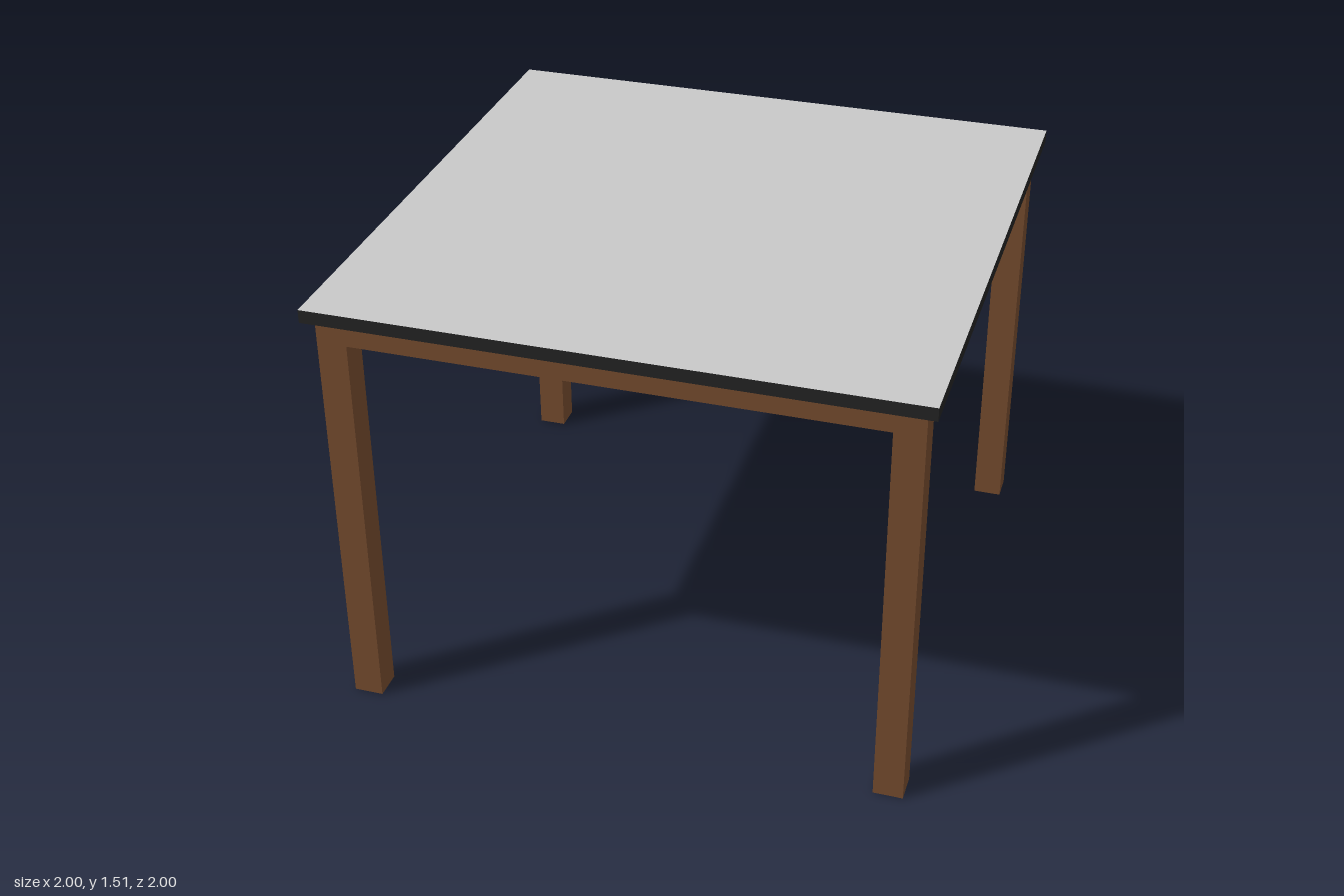
import * as THREE from 'three';

export function createModel() {
  const table = new THREE.Group();
  table.name = 'table';

  const material = (name, color) => {
    const m = new THREE.MeshStandardMaterial({ color });
    m.name = name;
    return m;
  };
  const wood = material('brown wood', 0x734a2d);
  const edge = material('black edge', 0x222222);
  const surface = material('grey surface', 0xc8c8c8);

  const addBox = (name, size, position, mat) => {
    const mesh = new THREE.Mesh(new THREE.BoxGeometry(...size), mat);
    mesh.name = name;
    mesh.position.set(...position);
    table.add(mesh);
  };

  const height = 1.51, topThickness = 0.045;
  const underside = height - topThickness;
  const outer = 0.965, legWidth = 0.1;
  const apronHeight = 0.082, apronDepth = 0.05;

  // Table top: grey surface, black rim, wooden underside
  addBox('tableTop', [2, topThickness, 2], [0, height - topThickness / 2, 0],
    [edge, edge, surface, wood, edge, edge]);

  // Square legs at the four corners
  const legCentre = outer - legWidth / 2;
  for (const [zName, z] of [['front', 1], ['back', -1]]) {
    for (const [xName, x] of [['Left', 1], ['Right', -1]]) {
      addBox(`${zName}${xName}Leg`, [legWidth, underside, legWidth],
        [x * legCentre, underside / 2, z * legCentre], wood);
    }
  }

  // Apron rails between the legs, flush with their outer faces
  const railLength = 2 * (outer - legWidth);
  const railCentre = outer - apronDepth / 2;
  const railY = underside - apronHeight / 2;
  for (const s of [1, -1]) {
    addBox(s > 0 ? 'frontApron' : 'backApron', [railLength, apronHeight, apronDepth],
      [0, railY, s * railCentre], wood);
    addBox(s > 0 ? 'leftApron' : 'rightApron', [apronDepth, apronHeight, railLength],
      [s * railCentre, railY, 0], wood);
  }

  return table;
}
